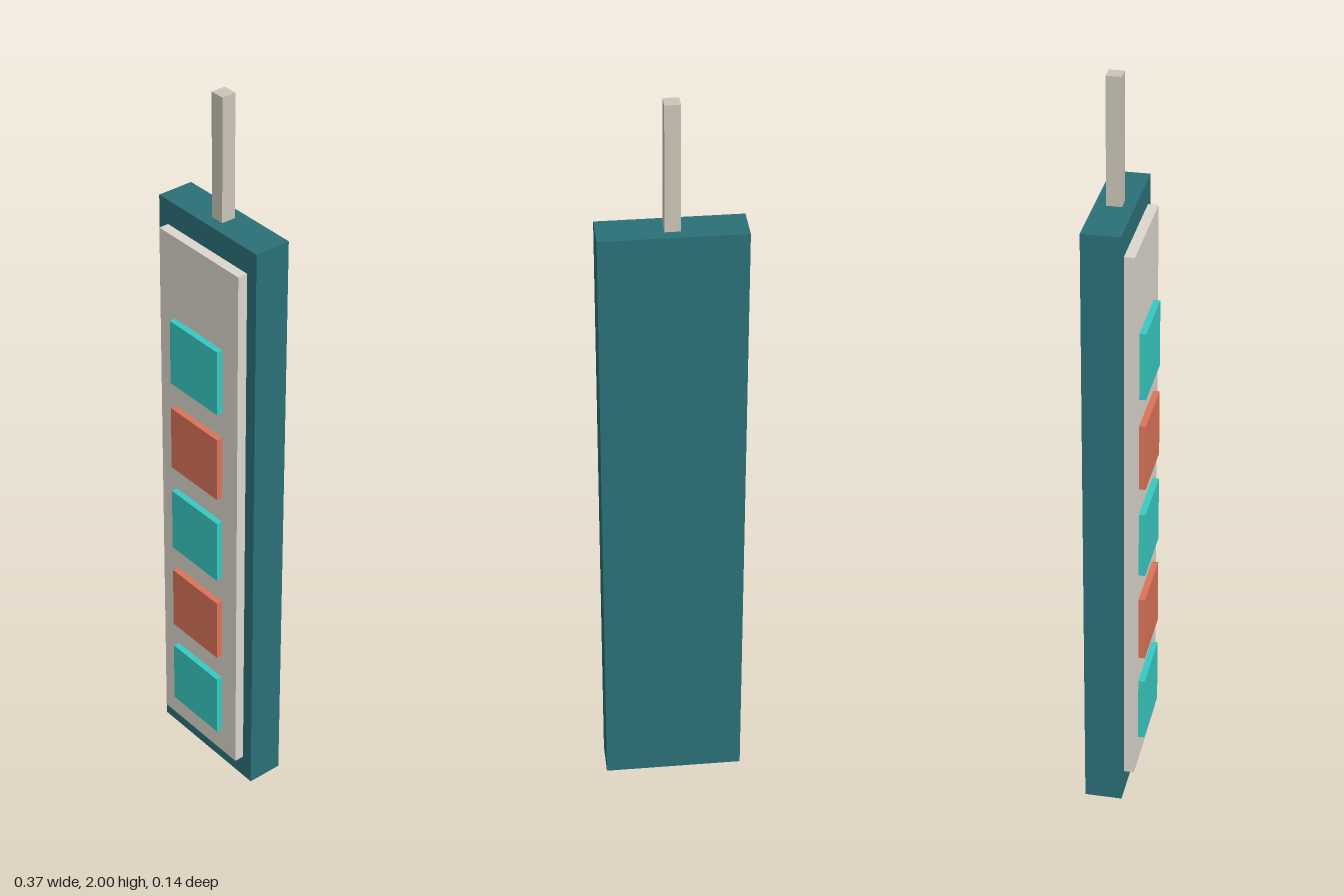
import * as THREE from 'three';

const COLORS = { case: 0x2b7078, panel: 0xdcd7ce, teal: 0x38c9c2, coral: 0xdb7459, antenna: 0xcbc5b7 };

// Box given by its width and its y and z extents, centred on x = 0
function block(name, color, width, [y0, y1], [z0, z1]) {
  const mesh = new THREE.Mesh(
    new THREE.BoxGeometry(width, y1 - y0, z1 - z0),
    new THREE.MeshStandardMaterial({ color })
  );
  mesh.name = name;
  mesh.position.set(0, (y0 + y1) / 2, (z0 + z1) / 2);
  return mesh;
}

export function createModel() {
  const model = new THREE.Group();
  model.name = 'handheldPanel';

  // Body, raised front plate and square antenna
  model.add(
    block('case', COLORS.case, 0.367, [0, 1.667], [-0.072, 0.027]),
    block('frontPlate', COLORS.panel, 0.3, [0.067, 1.6], [0.027, 0.054]),
    block('antenna', COLORS.antenna, 0.039, [1.667, 2], [-0.043, -0.004])
  );

  // Column of square buttons in alternating colours
  const size = 0.184;
  for (let i = 0; i < 5; i++) {
    const y = 0.235 + i * 0.26;
    const color = i % 2 ? COLORS.coral : COLORS.teal;
    model.add(block(`button${i + 1}`, color, size, [y - size / 2, y + size / 2], [0.054, 0.071]));
  }
  return model;
}
